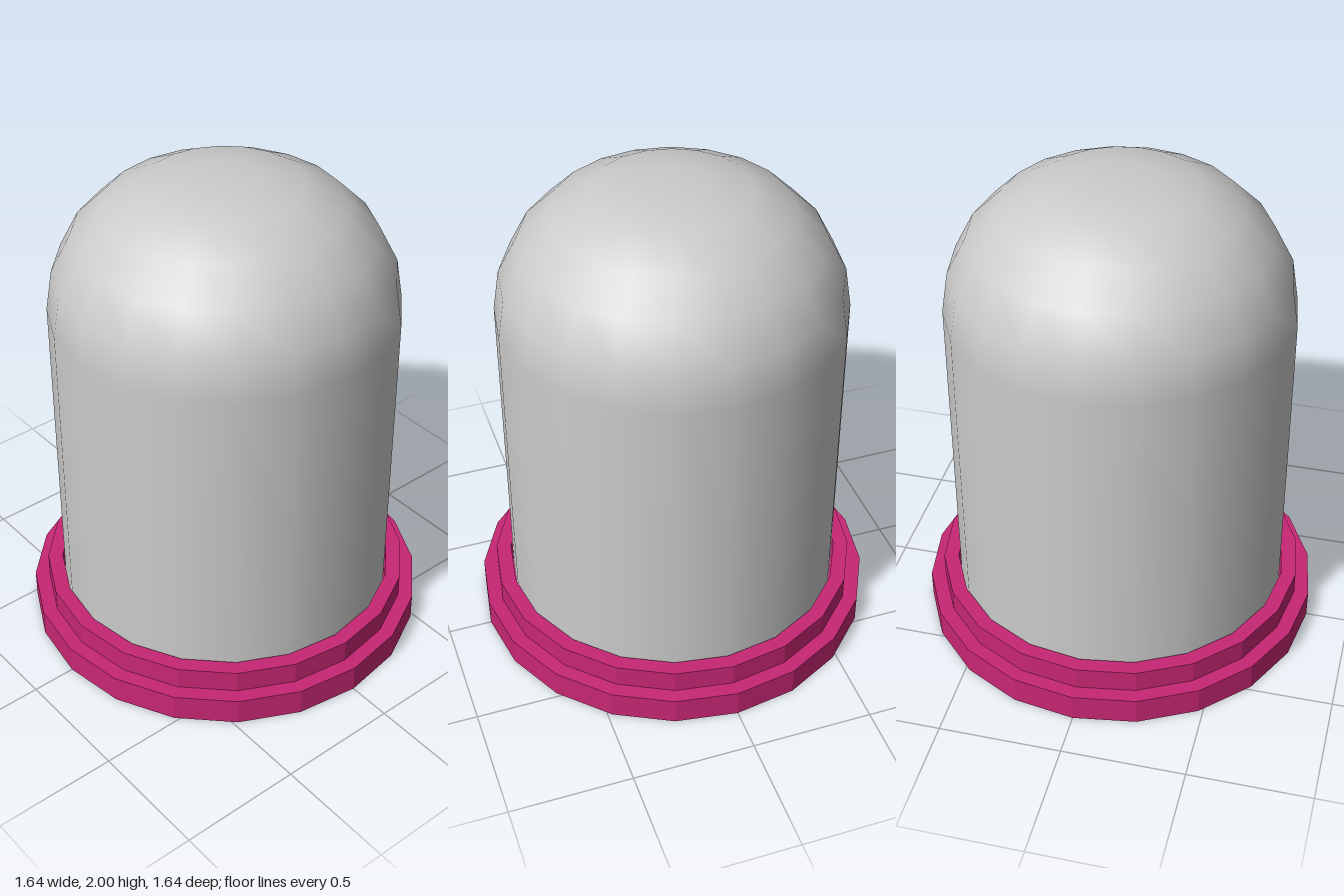
import * as THREE from 'three';

const SIDES = 20;

// Turns a list of [radius, height] points into a lathed mesh
function lathe(name, points, material) {
  const profile = points.map(([r, y]) => new THREE.Vector2(r, y));
  const mesh = new THREE.Mesh(new THREE.LatheGeometry(profile, SIDES), material);
  mesh.name = name;
  return mesh;
}

export function createModel() {
  const group = new THREE.Group();
  group.name = 'domedJar';

  const grey = new THREE.MeshStandardMaterial({ color: 0xcccccc, side: THREE.DoubleSide });
  const pink = new THREE.MeshStandardMaterial({ color: 0xc82774, flatShading: true });

  // Stepped base with a shallow socket that holds the dome
  group.add(lathe('steppedBase', [
    [0, 0], [0.82, 0], [0.82, 0.115], [0.76, 0.115],
    [0.76, 0.21], [0.698, 0.21], [0.698, 0.115], [0, 0.115],
  ], pink));

  // Straight wall rounded over into a small flat top
  const radius = 0.69, round = 0.55, steps = 5;
  const wall = [[radius, 0.115]];
  for (let i = 0; i <= steps; i++) {
    const a = (i / steps) * Math.PI / 2;
    wall.push([radius - round + round * Math.cos(a), 1.455 + 0.545 * Math.sin(a)]);
  }
  wall.push([0, 2]);
  group.add(lathe('dome', wall, grey));

  return group;
}
